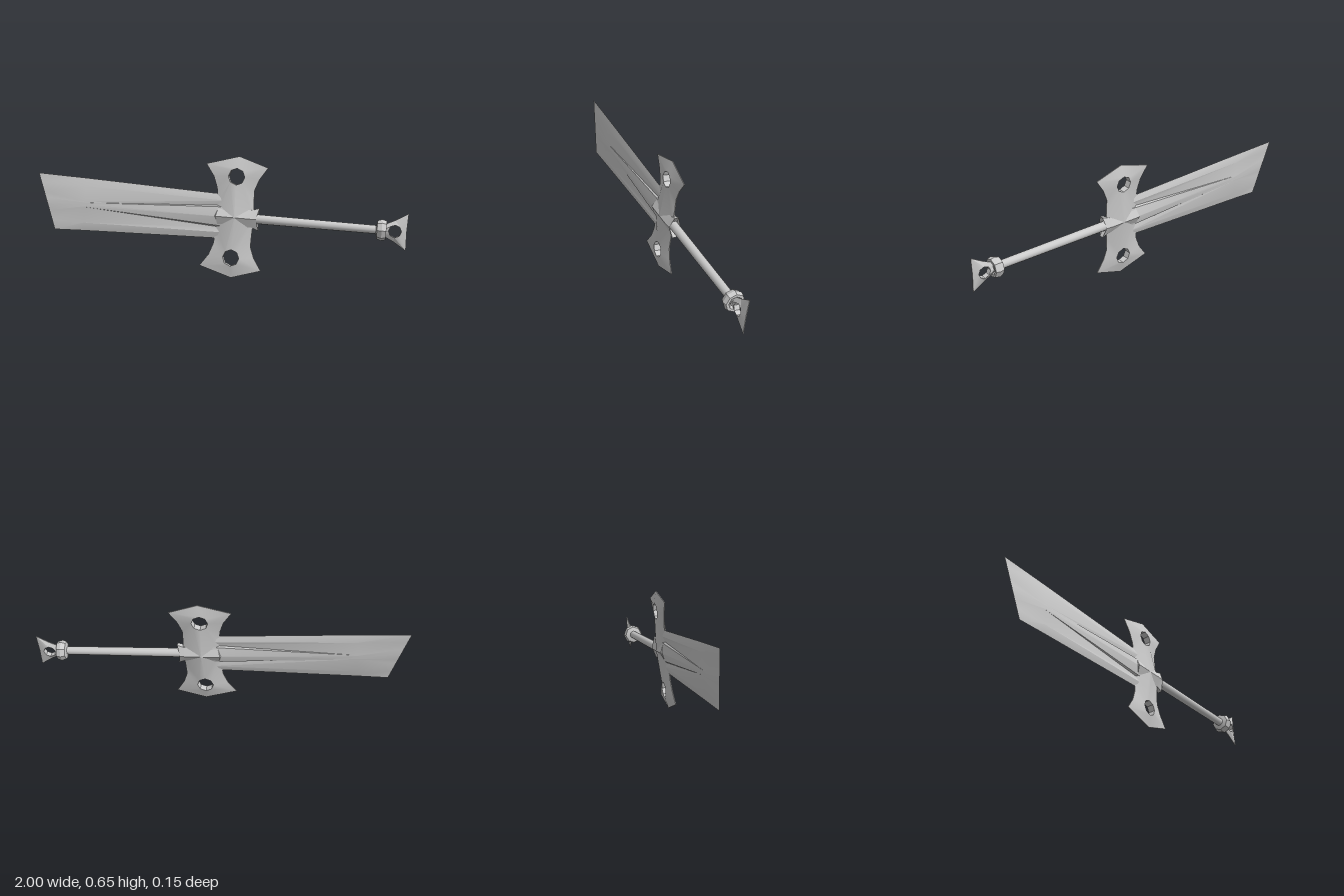
import * as THREE from 'three';
import { toCreasedNormals } from 'three/addons/utils/BufferGeometryUtils.js';

const material = new THREE.MeshStandardMaterial({ color: 0xcccccc, side: THREE.DoubleSide });

function part(name, geometry) {
  const mesh = new THREE.Mesh(geometry, material);
  mesh.name = name;
  return mesh;
}

// Skin a list of closed cross-section loops with equal point counts.
function skin(rows) {
  const n = rows[0].length;
  const index = [];
  for (let i = 0; i < rows.length - 1; i++) {
    for (let j = 0; j < n; j++) {
      const a = i * n + j, b = i * n + (j + 1) % n;
      index.push(a, b, a + n, b, b + n, a + n);
    }
  }
  const geometry = new THREE.BufferGeometry();
  geometry.setAttribute('position', new THREE.Float32BufferAttribute(rows.flat(2), 3));
  geometry.setIndex(index);
  return toCreasedNormals(geometry, 0.45);
}

// Lens-like plate: thin outer rim rising to a thicker octagonal hole.
function piercedPlate(rim, angles, cx, cy, radius, halfDepth) {
  const hole = (z) => angles.map((d) => {
    const a = THREE.MathUtils.degToRad(d);
    return [cx + radius * Math.cos(a), cy + radius * Math.sin(a), z];
  });
  const edge = (s) => rim.map(([x, y, z = 0.002]) => [x, y, z * s]);
  return skin([edge(1), hole(halfDepth), hole(-halfDepth), edge(-1), edge(1)]);
}

// Symmetric blade section from [v, z] pairs running from the edge to the ridge.
function section(half, uAt) {
  const lower = half.map(([v, z]) => [-v, z]);
  const upper = half.slice(0, -1).reverse();
  const front = [...lower, ...upper];
  const back = front.slice(1, -1).reverse().map(([v, z]) => [v, -z]);
  return [...front, ...back].map(([v, z]) => [uAt(v), v, z]);
}

export function createModel() {
  const group = new THREE.Group();
  group.name = 'sword';

  // Blade with a tapering spine, side grooves and a slanted end
  group.add(part('blade', skin([
    section([[0.118, 0], [0.085, 0.011], [0.06, 0.004], [0.052, 0.014], [0, 0.03]], () => -0.05),
    section([[0.144, 0], [0.1, 0.012], [0.014, 0.012], [0.01, 0.013], [0, 0.014]], () => -0.83),
    section([[0.151, 0], [0.1, 0], [0.05, 0], [0.02, 0], [0, 0]], (v) => -1.05 - 0.36 * v),
  ])));

  // Guard wings, mirrored about the sword's axis
  const wingRim = [
    [0, 0.325], [-0.175, 0.274], [-0.13, 0.21], [-0.108, 0.15], [-0.1, 0.08], [-0.1, 0, 0.01],
    [0, 0, 0.036], [0.1, 0, 0.01], [0.095, 0.08], [0.093, 0.15], [0.115, 0.21], [0.157, 0.275],
  ];
  const wingAngles = [90, 135, 180, 225, 225, 225, 270, 315, 315, 315, 360, 405];
  for (const side of [1, -1]) {
    const wing = part(side > 0 ? 'upperGuardWing' : 'lowerGuardWing',
      piercedPlate(wingRim, wingAngles, -0.006, 0.217, 0.044, 0.019));
    wing.scale.y = side;
    group.add(wing);
  }

  // Ridged collar over the guard, flaring toward the grip
  const collarLoop = (u, h, d) => [
    [u, -h, d * 0.35], [u - 0.012, 0, d], [u, h, d * 0.35],
    [u, h, -d * 0.35], [u - 0.012, 0, -d], [u, -h, -d * 0.35],
  ];
  group.add(part('collar', skin([
    collarLoop(0.1, 0.022, 0.022),
    collarLoop(0.128, 0.06, 0.032),
    collarLoop(0.09, 0.046, 0.036),
    collarLoop(-0.09, 0.05, 0.036),
    collarLoop(-0.1, 0.03, 0.02),
  ])));

  // Grip
  const grip = part('grip', new THREE.CylinderGeometry(0.022, 0.025, 0.7, 12));
  grip.rotation.z = -Math.PI / 2;
  grip.position.x = 0.44;
  group.add(grip);

  // Octagonal pommel ring
  const ringProfile = [[0.022, 0.742], [0.048, 0.748], [0.056, 0.772], [0.05, 0.795], [0.036, 0.795], [0.022, 0.775]];
  const ring = part('pommelRing', toCreasedNormals(
    new THREE.LatheGeometry(ringProfile.map(([r, u]) => new THREE.Vector2(r, u)), 8), 0.3));
  ring.rotation.z = -Math.PI / 2;
  group.add(ring);

  // Fan-shaped pommel end
  const fanRim = [
    [0.9, 0], [0.903, 0.097], [0.837, 0.056], [0.77, 0.024], [0.77, 0, 0.018],
    [0.77, -0.024], [0.837, -0.056], [0.903, -0.097],
  ];
  group.add(part('pommelFan', piercedPlate(fanRim, [0, 45, 90, 135, 180, 225, 270, 315], 0.84, 0, 0.033, 0.015)));

  // Lay the sword along its slightly tilted axis
  const along = new THREE.Vector3(0.997, -0.056, -0.047).normalize();
  const across = new THREE.Vector3(0.047, 0.995, -0.1).normalize();
  const depth = along.clone().cross(across).normalize();
  across.crossVectors(depth, along);
  group.quaternion.setFromRotationMatrix(new THREE.Matrix4().makeBasis(along, across, depth));
  group.position.set(0.095, 0.327, 0.01);
  return group;
}
